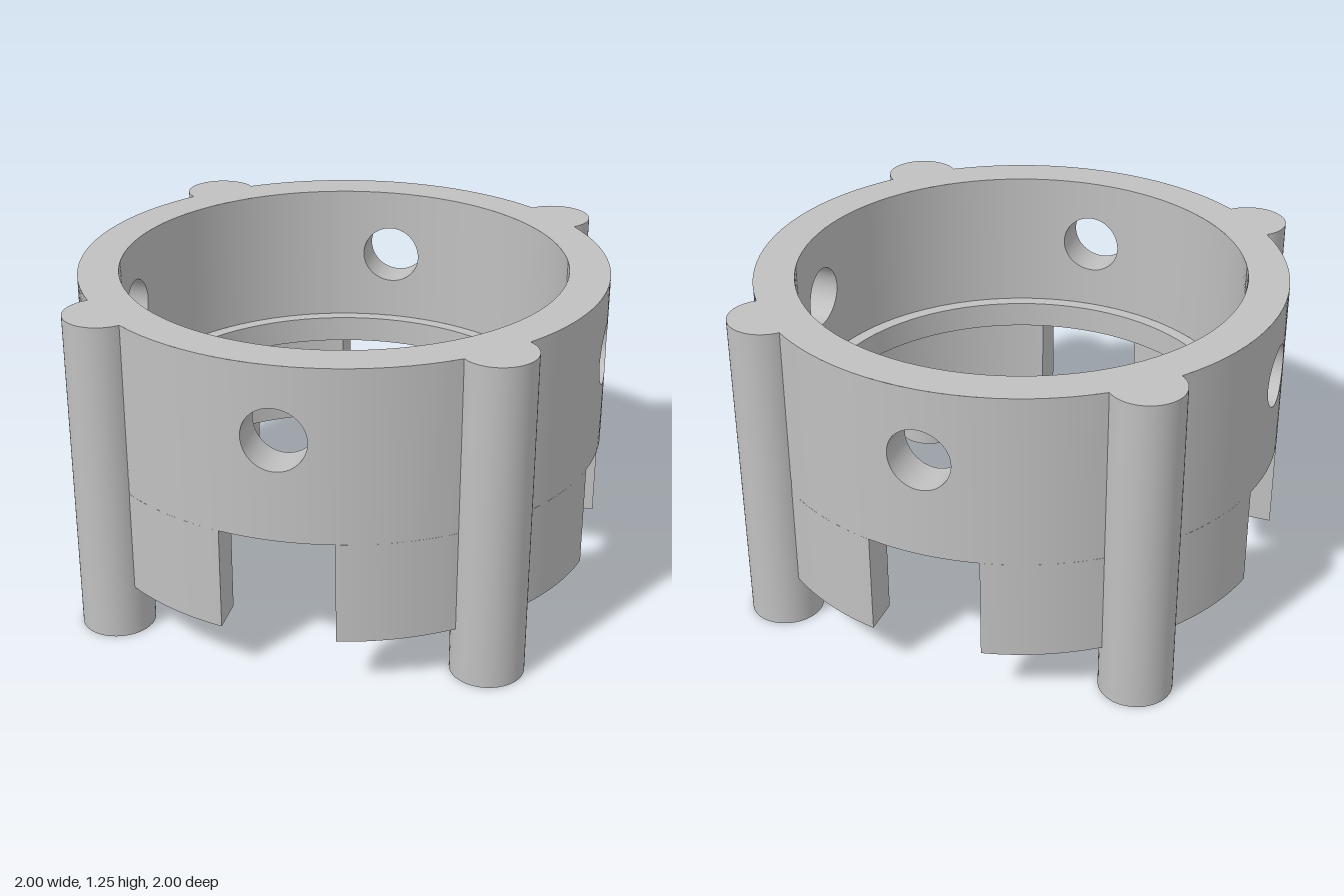
import * as THREE from 'three';
import { toCreasedNormals } from 'three/addons/utils/BufferGeometryUtils.js';

const OUTER = 1, BORE = 0.847, LIP = 0.795, LEG_IN = 0.86;
const TOP = 1.25, LEDGE = 0.695, UNDER = 0.59, LEG_BOTTOM = 0.2;
const HOLE_Y = 0.975, HOLE_R = 0.118, NOTCH = 0.21;

// Grid surface; fn(u, v) returns position and normal [x, y, z, nx, ny, nz]
function sheet(fn, nu, nv, flip = false) {
  const pos = [], nor = [], idx = [];
  for (let i = 0; i <= nu; i++) {
    for (let j = 0; j <= nv; j++) {
      const p = fn(i / nu, j / nv);
      pos.push(p[0], p[1], p[2]);
      nor.push(p[3], p[4], p[5]);
      if (i === nu || j === nv) continue;
      const a = i * (nv + 1) + j, b = a + 1, c = a + nv + 1, d = c + 1;
      if (flip) idx.push(a, c, b, b, c, d);
      else idx.push(a, b, c, b, d, c);
    }
  }
  const g = new THREE.BufferGeometry();
  g.setAttribute('position', new THREE.Float32BufferAttribute(pos, 3));
  g.setAttribute('normal', new THREE.Float32BufferAttribute(nor, 3));
  g.setIndex(idx);
  return g;
}

// Quarter of a round wall, spreading from a straight-drilled hole to its border
function wallQuarter(r, bottom, inward) {
  const s = inward ? -1 : 1;
  return sheet((u, v) => {
    const t = u * Math.PI * 2, c = Math.cos(t), n = Math.sin(t);
    const m = Math.max(Math.abs(c), Math.abs(n));
    const edgeA = (c / m) * Math.PI / 4;
    const edgeY = HOLE_Y + (n / m) * (n > 0 ? TOP - HOLE_Y : HOLE_Y - bottom);
    const a = THREE.MathUtils.lerp(Math.asin(HOLE_R * c / r), edgeA, v);
    const y = THREE.MathUtils.lerp(HOLE_Y + HOLE_R * n, edgeY, v);
    return [r * Math.sin(a), y, r * Math.cos(a), s * Math.sin(a), 0, s * Math.cos(a)];
  }, 96, 14, inward);
}

// Inside of the drilled hole
function holeWall() {
  return sheet((u, v) => {
    const t = u * Math.PI * 2, c = Math.cos(t), n = Math.sin(t);
    const r = THREE.MathUtils.lerp(BORE, OUTER, v), x = HOLE_R * c;
    return [x, HOLE_Y + HOLE_R * n, Math.sqrt(r * r - x * x), -c, -n, 0];
  }, 96, 1);
}

// Curved leg between two parallel-sided notches
function legGeometry() {
  const a = Math.asin(NOTCH / OUTER), b = Math.asin(NOTCH / LEG_IN);
  const shape = new THREE.Shape();
  shape.absarc(0, 0, OUTER, a, Math.PI / 2 - a, false);
  shape.absarc(0, 0, LEG_IN, Math.PI / 2 - b, b, true);
  shape.closePath();
  const g = new THREE.ExtrudeGeometry(shape, { depth: UNDER - LEG_BOTTOM, bevelEnabled: false, curveSegments: 28 });
  g.rotateX(-Math.PI / 2).translate(0, LEG_BOTTOM, 0);
  return toCreasedNormals(g, 0.5);
}

function lathe(points) {
  const g = new THREE.LatheGeometry(points.map(p => new THREE.Vector2(...p)), 96);
  return toCreasedNormals(g, 0.5);
}

export function createModel() {
  const model = new THREE.Group();
  model.name = 'mountingRing';
  const grey = new THREE.MeshStandardMaterial({ color: 0xc0c0c0 });
  grey.name = 'light grey';

  const add = (parent, name, geometry) => {
    const mesh = new THREE.Mesh(geometry, grey);
    mesh.name = name;
    parent.add(mesh);
    return mesh;
  };

  // Flat top rim, and the inner ledge with the ring's underside
  add(model, 'topRim', lathe([[OUTER, TOP], [BORE, TOP]]));
  add(model, 'innerLedge', lathe([[BORE, LEDGE], [LIP, LEDGE], [LIP, UNDER], [OUTER, UNDER]]));

  const outer = wallQuarter(OUTER, UNDER, false);
  const inner = wallQuarter(BORE, LEDGE, true);
  const hole = holeWall();
  const leg = legGeometry();
  const post = new THREE.CylinderGeometry(0.137, 0.137, TOP, 48);

  // Four identical quarters, each with a hole, a leg and a post
  for (let i = 0; i < 4; i++) {
    const quarter = new THREE.Group();
    quarter.name = 'quarter' + (i + 1);
    quarter.rotation.y = i * Math.PI / 2;
    add(quarter, 'outerWall', outer);
    add(quarter, 'innerWall', inner);
    add(quarter, 'holeWall', hole);
    add(quarter, 'leg', leg);
    add(quarter, 'post', post).position.set(Math.SQRT1_2, TOP / 2, Math.SQRT1_2);
    model.add(quarter);
  }
  return model;
}
